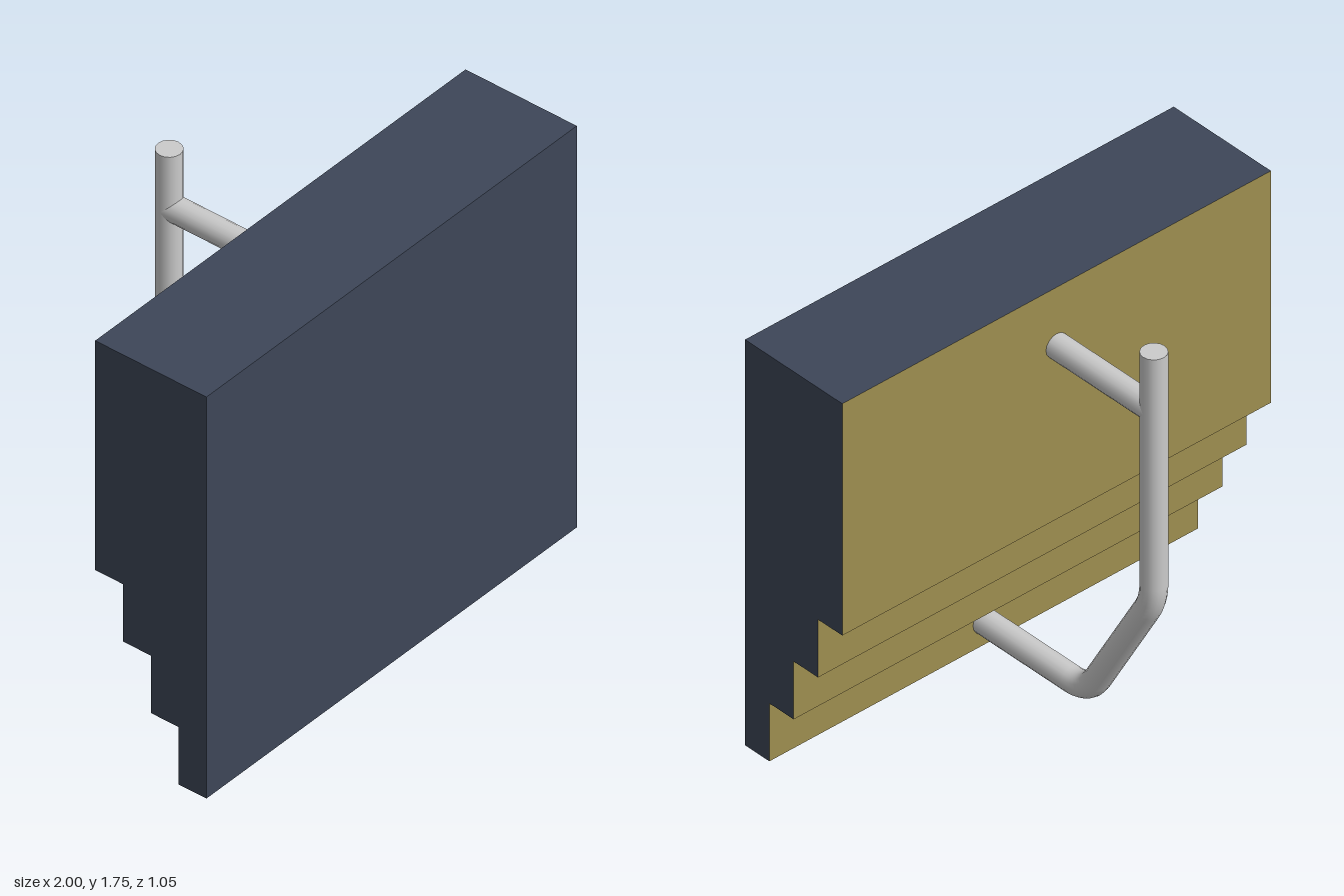
import * as THREE from 'three';

const navy = new THREE.MeshStandardMaterial({ color: 0x3d4658 });
const olive = new THREE.MeshStandardMaterial({ color: 0x9f8f50 });
const grey = new THREE.MeshStandardMaterial({ color: 0xcccccc });
const RADIUS = 0.05;
const SIDES = 16;

function add(group, name, geometry, material) {
  const mesh = new THREE.Mesh(geometry, material);
  mesh.name = name;
  group.add(mesh);
  return mesh;
}

// Keep only the triangles whose face normal passes the test
function pickFaces(geometry, test) {
  const p = geometry.attributes.position;
  const tri = new THREE.Triangle();
  const normal = new THREE.Vector3();
  const out = [];
  for (let i = 0; i < p.count; i += 3) {
    tri.setFromAttributeAndIndices(p, i, i + 1, i + 2);
    tri.getNormal(normal);
    if (test(normal)) out.push(...tri.a.toArray(), ...tri.b.toArray(), ...tri.c.toArray());
  }
  const g = new THREE.BufferGeometry();
  g.setAttribute('position', new THREE.Float32BufferAttribute(out, 3));
  g.computeVertexNormals();
  return g;
}

export function createModel() {
  const model = new THREE.Group();
  model.name = 'steppedPanelWithPipe';

  // Stepped panel: side profile (-z, y) swept across the width
  const profile = [new THREE.Vector2(-0.525, 1.75), new THREE.Vector2(-0.525, 0)];
  for (let i = 0; i < 4; i++) {
    const back = -0.4 + i * 0.125;
    profile.push(new THREE.Vector2(back, i * 0.25));
    profile.push(new THREE.Vector2(back, i < 3 ? (i + 1) * 0.25 : 1.75));
  }
  const extruded = new THREE.ExtrudeGeometry(new THREE.Shape(profile), { depth: 2, bevelEnabled: false });
  extruded.rotateY(Math.PI / 2).translate(-1, 0, 0);
  const solid = extruded.index ? extruded.toNonIndexed() : extruded;
  const isBack = (n) => n.z < -0.5 || n.y < -0.5;
  const panel = new THREE.Group();
  panel.name = 'panel';
  model.add(panel);
  add(panel, 'panelFrontTopAndSides', pickFaces(solid, (n) => !isBack(n)), navy);
  add(panel, 'panelBackAndStepUndersides', pickFaces(solid, isBack), olive);

  // Bent pipe: lower arm, sloping run and upright post, joined by bends
  const at = (y, z) => new THREE.Vector3(0, y, z);
  const path = new THREE.CurvePath();
  path.add(new THREE.LineCurve3(at(0.105, 0.4), at(0.105, -0.053)));
  path.add(new THREE.QuadraticBezierCurve3(at(0.105, -0.053), at(0.105, -0.143), at(0.183, -0.188)));
  path.add(new THREE.LineCurve3(at(0.183, -0.188), at(0.62, -0.44)));
  path.add(new THREE.QuadraticBezierCurve3(at(0.62, -0.44), at(0.68, -0.475), at(0.75, -0.475)));
  path.add(new THREE.LineCurve3(at(0.75, -0.475), at(1.75, -0.475)));
  const pipe = new THREE.Group();
  pipe.name = 'pipe';
  model.add(pipe);
  add(pipe, 'bentPipe', new THREE.TubeGeometry(path, 120, RADIUS, SIDES), grey);

  // Closed pipe ends
  const topCap = add(pipe, 'pipeTopCap', new THREE.CircleGeometry(RADIUS, SIDES), grey);
  topCap.rotation.x = -Math.PI / 2;
  topCap.position.set(0, 1.75, -0.475);
  const lowerCap = add(pipe, 'pipeLowerCap', new THREE.CircleGeometry(RADIUS, SIDES), grey);
  lowerCap.position.set(0, 0.105, 0.4);

  // Upper arm from the panel to the post
  const arm = add(pipe, 'upperArm', new THREE.CylinderGeometry(RADIUS, RADIUS, 0.5, SIDES), grey);
  arm.rotation.x = Math.PI / 2;
  arm.position.set(0, 1.5, -0.225);

  return model;
}
